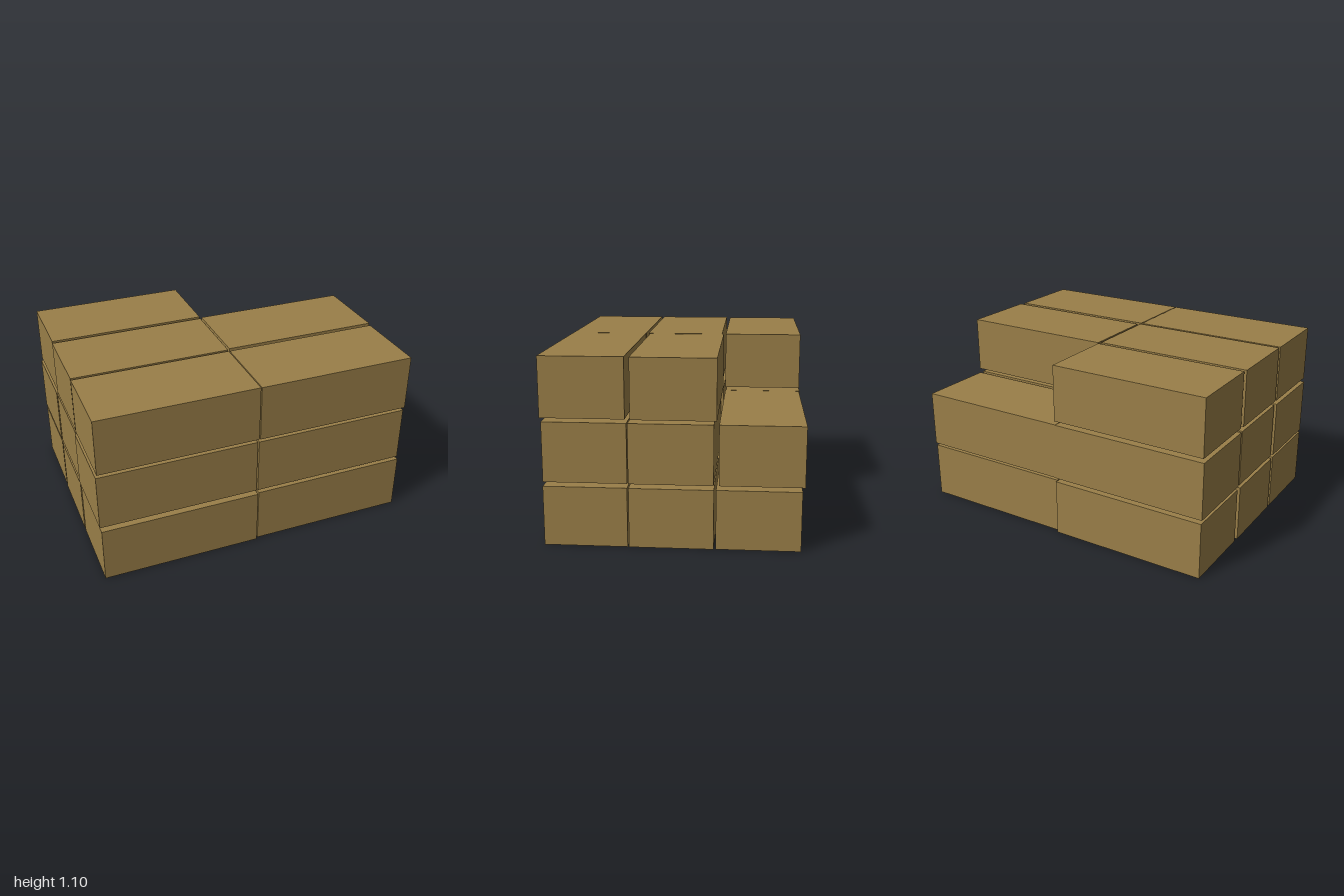
import * as THREE from 'three';

// Stack of loosely placed crates: three layers, two across, three deep, one missing
const W = 0.987, H = 0.352, D = 0.484, LAYER = 0.375;

// Crate centres [x, z] per layer, front row to back row, -x before +x
const LAYERS = [
  [[-0.5, 0.513], [0.498, 0.5], [-0.5, 0.005], [0.5, 0.008], [-0.497, -0.51], [0.497, -0.488]],
  [[-0.506, 0.5], [0.49, 0.5], [-0.498, -0.006], [0.492, 0.01], [-0.5, -0.508], [0.49, -0.503]],
  [[-0.5, 0.507], [0.493, 0.508], [-0.498, 0.006], [0.503, -0.006], [-0.493, -0.503]],
];

export function createModel() {
  const model = new THREE.Group();
  model.name = 'crateStack';
  const cardboard = new THREE.MeshStandardMaterial({ color: 0x9a7f48 });
  cardboard.name = 'cardboard brown';
  const geometry = new THREE.BoxGeometry(W, H, D);

  LAYERS.forEach((centres, level) => {
    const layer = new THREE.Group();
    layer.name = `layer${level + 1}`;
    centres.forEach(([x, z], i) => {
      const crate = new THREE.Mesh(geometry, cardboard);
      crate.name = `crate${level + 1}_${i + 1}`;
      crate.position.set(x, H / 2 + level * LAYER, z);
      layer.add(crate);
    });
    model.add(layer);
  });
  return model;
}
